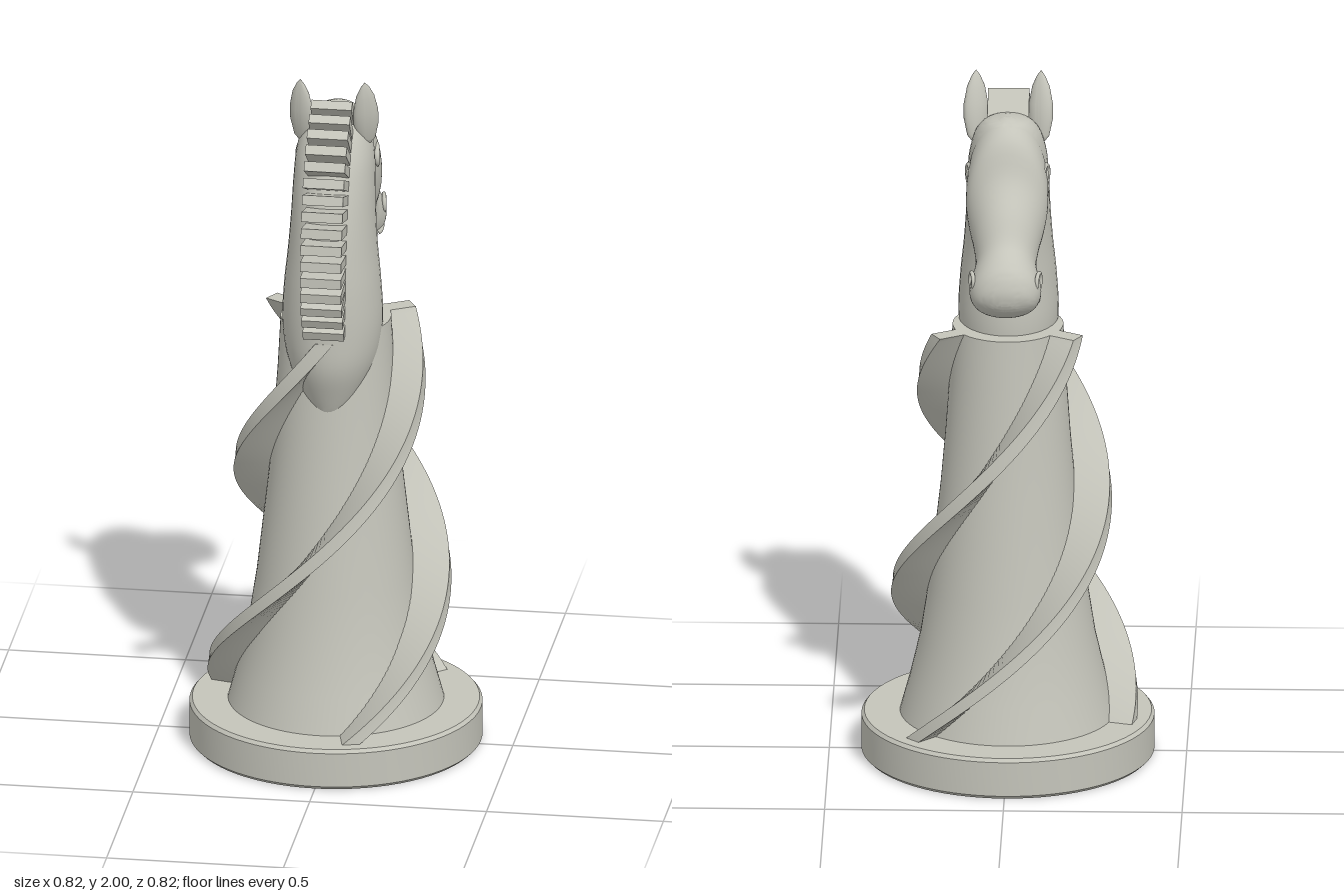
import * as THREE from 'three';
import { toCreasedNormals } from 'three/addons/utils/BufferGeometryUtils.js';

const stone = new THREE.MeshStandardMaterial({ color: 0xc4c4ba });
stone.name = 'pale stone';

// Closed solid through a list of rings, each with the same number of points
function loft(rings, crease) {
  const n = rings[0].length;
  const pos = rings.flat().flatMap((p) => [p.x, p.y, p.z]);
  const idx = [];
  for (let i = 0; i < rings.length - 1; i++) {
    for (let j = 0; j < n; j++) {
      const a = i * n + j, b = i * n + (j + 1) % n;
      idx.push(a, b, b + n, a, b + n, a + n);
    }
  }
  const last = (rings.length - 1) * n;
  for (let j = 1; j < n - 1; j++) {
    idx.push(0, j + 1, j, last, last + j, last + j + 1);
  }
  // Turn the faces outward if the volume comes out negative
  let volume = 0;
  const v = (k) => new THREE.Vector3().fromArray(pos, idx[k] * 3);
  for (let k = 0; k < idx.length; k += 3) volume += v(k).dot(v(k + 1).cross(v(k + 2)));
  if (volume < 0) idx.reverse();
  const geo = new THREE.BufferGeometry();
  geo.setAttribute('position', new THREE.Float32BufferAttribute(pos, 3));
  geo.setIndex(idx);
  return toCreasedNormals(geo, crease);
}

// Smooth oval body; each section is [z1, y1, z2, y2, halfWidth]
function ovalBody(sections) {
  const one = new THREE.CatmullRomCurve3(sections.map((s) => new THREE.Vector3(s[4], s[1], s[0])));
  const two = new THREE.CatmullRomCurve3(sections.map((s) => new THREE.Vector3(0, s[3], s[2])));
  const rings = [];
  const steps = (sections.length - 1) * 5;
  for (let i = 0; i <= steps; i++) {
    const a = one.getPoint(i / steps), b = two.getPoint(i / steps);
    const ring = [];
    for (let j = 0; j < 40; j++) {
      const t = (j / 40) * Math.PI * 2, m = (1 + Math.cos(t)) / 2;
      ring.push(new THREE.Vector3(a.x * Math.sin(t), b.y + (a.y - b.y) * m, b.z + (a.z - b.z) * m));
    }
    rings.push(ring);
  }
  return loft(rings, 0.9);
}

function lathe(points, segments = 72) {
  const geo = new THREE.LatheGeometry(points.map((p) => new THREE.Vector2(...p)), segments);
  return toCreasedNormals(geo, 0.5);
}

// Spiral fin winding down the column
function spiralFin(startAngle) {
  const rings = [];
  const half = 0.025, inner = 0.11;
  for (let i = 0; i <= 90; i++) {
    const t = i / 90;
    const y = 1.27 - 1.16 * t;
    const angle = startAngle + THREE.MathUtils.degToRad(227) * t;
    const outer = 0.23 + 0.14 * t;
    const c = Math.cos(angle), s = Math.sin(angle);
    rings.push([[inner, -half], [outer, -half], [outer, half], [inner, half]].map(
      ([r, w]) => new THREE.Vector3(r * c - w * s, y, r * s + w * c)));
  }
  return loft(rings, 0.6);
}

export function createModel() {
  const group = new THREE.Group();
  const add = (name, geo, x = 0, y = 0, z = 0) => {
    const mesh = new THREE.Mesh(geo, stone);
    mesh.name = name;
    mesh.position.set(x, y, z);
    group.add(mesh);
    return mesh;
  };

  // Round foot and tapering column
  add('base', lathe([[0, 0], [0.4, 0], [0.41, 0.01], [0.41, 0.11], [0.402, 0.12], [0, 0.12]]));
  add('column', lathe([[0.305, 0.11], [0.275, 0.22], [0.245, 0.35], [0.222, 0.5], [0.205, 0.65],
    [0.188, 0.8], [0.175, 0.95], [0.163, 1.12], [0.155, 1.27], [0, 1.27]]));
  [-150, -30, 90].forEach((deg) => add('spiralFin', spiralFin(THREE.MathUtils.degToRad(deg))));

  // Neck, from inside the column up to the crown
  add('neck', ovalBody([
    [0.14, 0.98, 0.02, 0.98, 0.03],
    [0.185, 1.08, 0, 1.08, 0.08],
    [0.222, 1.18, -0.09, 1.18, 0.125],
    [0.23, 1.28, -0.107, 1.28, 0.14],
    [0.23, 1.4, -0.105, 1.4, 0.135],
    [0.222, 1.5, -0.108, 1.5, 0.125],
    [0.205, 1.6, -0.115, 1.6, 0.118],
    [0.175, 1.7, -0.12, 1.7, 0.114],
    [0.14, 1.78, -0.12, 1.78, 0.108],
    [0.09, 1.85, -0.105, 1.85, 0.088],
    [0.05, 1.88, -0.085, 1.885, 0.06],
    [0, 1.895, -0.05, 1.9, 0.015],
  ]));

  // Head, from behind the crown to the round muzzle
  add('head', ovalBody([
    [0.01, 1.885, 0.06, 1.6, 0.09],
    [-0.05, 1.9, -0.02, 1.52, 0.11],
    [-0.115, 1.86, -0.08, 1.49, 0.115],
    [-0.16, 1.755, -0.115, 1.485, 0.106],
    [-0.22, 1.675, -0.14, 1.465, 0.092],
    [-0.27, 1.6, -0.155, 1.435, 0.085],
    [-0.31, 1.573, -0.19, 1.403, 0.095],
    [-0.342, 1.54, -0.235, 1.386, 0.1],
    [-0.359, 1.495, -0.285, 1.39, 0.082],
    [-0.357, 1.455, -0.33, 1.415, 0.035],
    [-0.35, 1.438, -0.345, 1.43, 0.005],
  ]));

  // Mane of square teeth set along the back of the neck
  const crest = new THREE.CatmullRomCurve3([[0.085, 1.935], [0.15, 1.885], [0.205, 1.82], [0.25, 1.73],
    [0.28, 1.62], [0.298, 1.5], [0.292, 1.41], [0.245, 1.3]].map(([z, y]) => new THREE.Vector3(0, y, z)));
  const teeth = 16, depth = 0.11;
  for (let i = 0; i < teeth; i++) {
    const p = crest.getPointAt(i / (teeth - 1)), t = crest.getTangentAt(i / (teeth - 1));
    const out = new THREE.Vector3(0, t.z, -t.y);
    p.addScaledVector(out, -depth / 2);
    const tooth = add('maneTooth', new THREE.BoxGeometry(0.116, 0.028, depth), p.x, p.y, p.z);
    tooth.rotation.x = Math.atan2(-out.y, out.z);
  }

  // Paired features
  for (const side of [-1, 1]) {
    // Leaf-shaped ear leaning back
    const ear = add('ear', lathe([[0, -0.11], [0.025, -0.08], [0.036, -0.03], [0.036, 0.01],
      [0.026, 0.06], [0.012, 0.09], [0, 0.105]], 24), side * 0.091, 1.898, 0.045);
    ear.scale.z = 0.55;
    ear.rotation.set(0.2, side * 0.4, 0);

    // Eyelid ring with eyeball
    const lid = add('eyelid', new THREE.TorusGeometry(0.033, 0.008, 10, 32), side * 0.105, 1.735, -0.063);
    lid.rotation.y = side * (Math.PI / 2 + 0.2);
    lid.scale.y = 0.85;
    const eye = add('eyeball', new THREE.SphereGeometry(0.02, 20, 14), side * 0.103, 1.735, -0.063);
    eye.scale.x = 0.7;

    // Nostril rim
    const nostril = add('nostril', new THREE.TorusGeometry(0.024, 0.006, 8, 28), side * 0.093, 1.5, -0.287);
    nostril.rotation.y = side * (Math.PI / 2 + 0.2);

    // Lip line
    const lip = new THREE.CatmullRomCurve3([[0.083, 1.435, -0.215], [0.09, 1.432, -0.25],
      [0.087, 1.442, -0.285], [0.076, 1.452, -0.312]].map(([x, y, z]) => new THREE.Vector3(side * x, y, z)));
    add('lip', new THREE.TubeGeometry(lip, 16, 0.007, 8));
  }
  return group;
}
